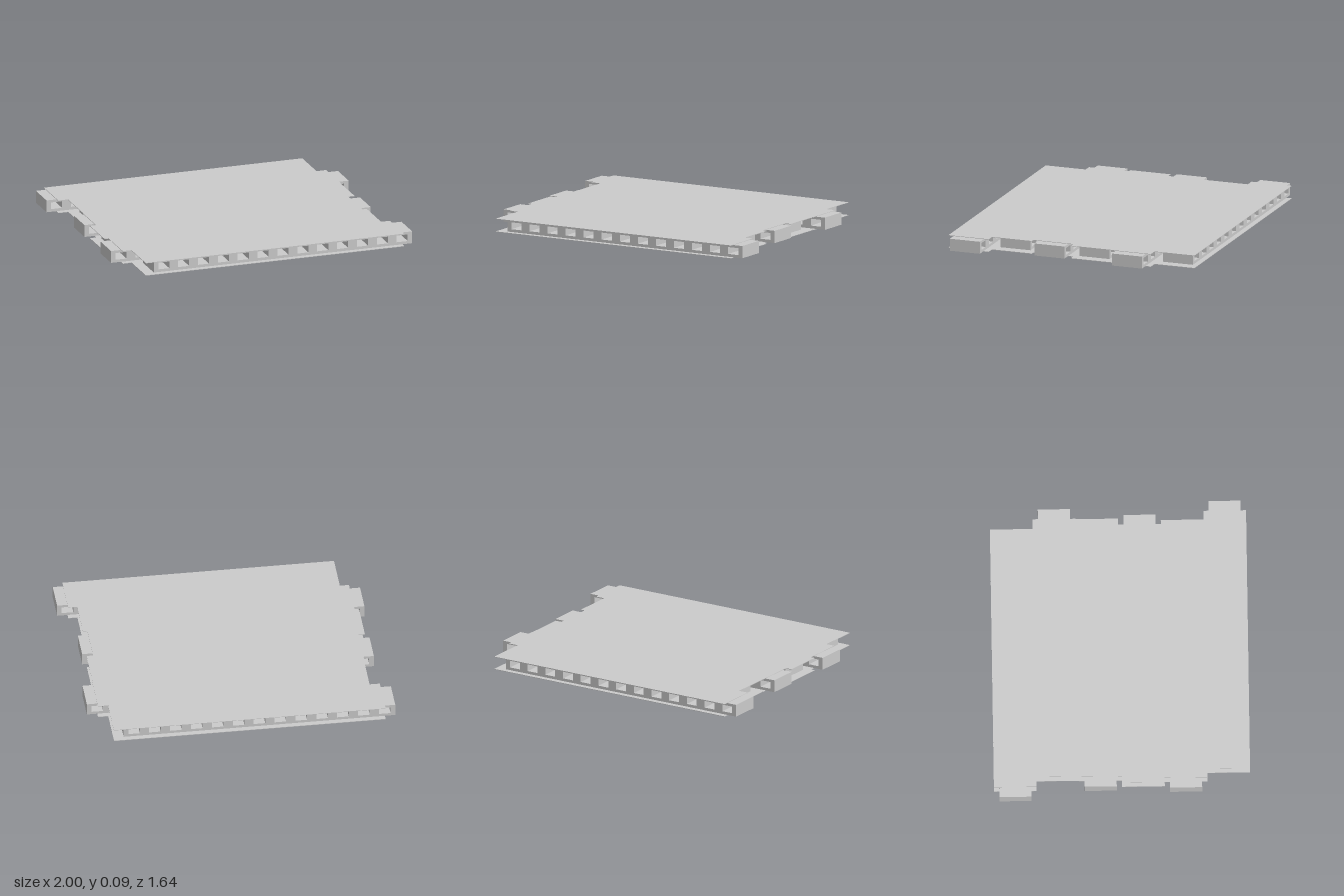
import * as THREE from 'three';

const PITCH = 0.135, CELLS = 13, LEN = PITCH * CELLS;   // cells along each plank
const ROW = 0.2735, CORE = 0.205, H = 0.086, SKIN = 0.003;

// Core beam with a rectangular hollow through every cell, extruded along z
function coreGeometry() {
  const shape = new THREE.Shape();
  shape.moveTo(0, 0).lineTo(LEN, 0).lineTo(LEN, H - 2 * SKIN).lineTo(0, H - 2 * SKIN).closePath();
  for (let i = 0; i < CELLS; i++) {
    const a = i * PITCH + 0.03, b = a + 0.075;
    const hole = new THREE.Path();
    hole.moveTo(a, 0.018).lineTo(a, 0.063).lineTo(b, 0.063).lineTo(b, 0.018).closePath();
    shape.holes.push(hole);
  }
  const geo = new THREE.ExtrudeGeometry(shape, { depth: CORE, bevelEnabled: false });
  geo.translate(-LEN / 2, SKIN, -CORE / 2);
  return geo;
}

export function createModel() {
  const group = new THREE.Group();
  const mat = new THREE.MeshStandardMaterial({ color: 0xcccccc, flatShading: true });
  const core = coreGeometry();
  const skin = new THREE.BoxGeometry(LEN, SKIN, ROW);
  // Centre of the skins of each plank, front row first
  const centres = [0.052, -0.007, -0.035, 0.007, 0.01, -0.056];

  centres.forEach((x, i) => {
    const plank = new THREE.Group();
    plank.name = 'plank' + (i + 1);
    plank.position.set(x, 0, ROW * (2.5 - i));

    // Core slides out of alternate ends to form the tongue and socket
    const beam = new THREE.Mesh(core, mat);
    beam.name = 'hollowCore';
    beam.position.x = i % 2 ? -0.067 : 0.067;
    plank.add(beam);

    // Thin covering sheets above and below
    for (const [name, y] of [['bottomSheet', SKIN / 2], ['topSheet', H - SKIN / 2]]) {
      const sheet = new THREE.Mesh(skin, mat);
      sheet.name = name;
      sheet.position.y = y;
      plank.add(sheet);
    }
    group.add(plank);
  });
  return group;
}
